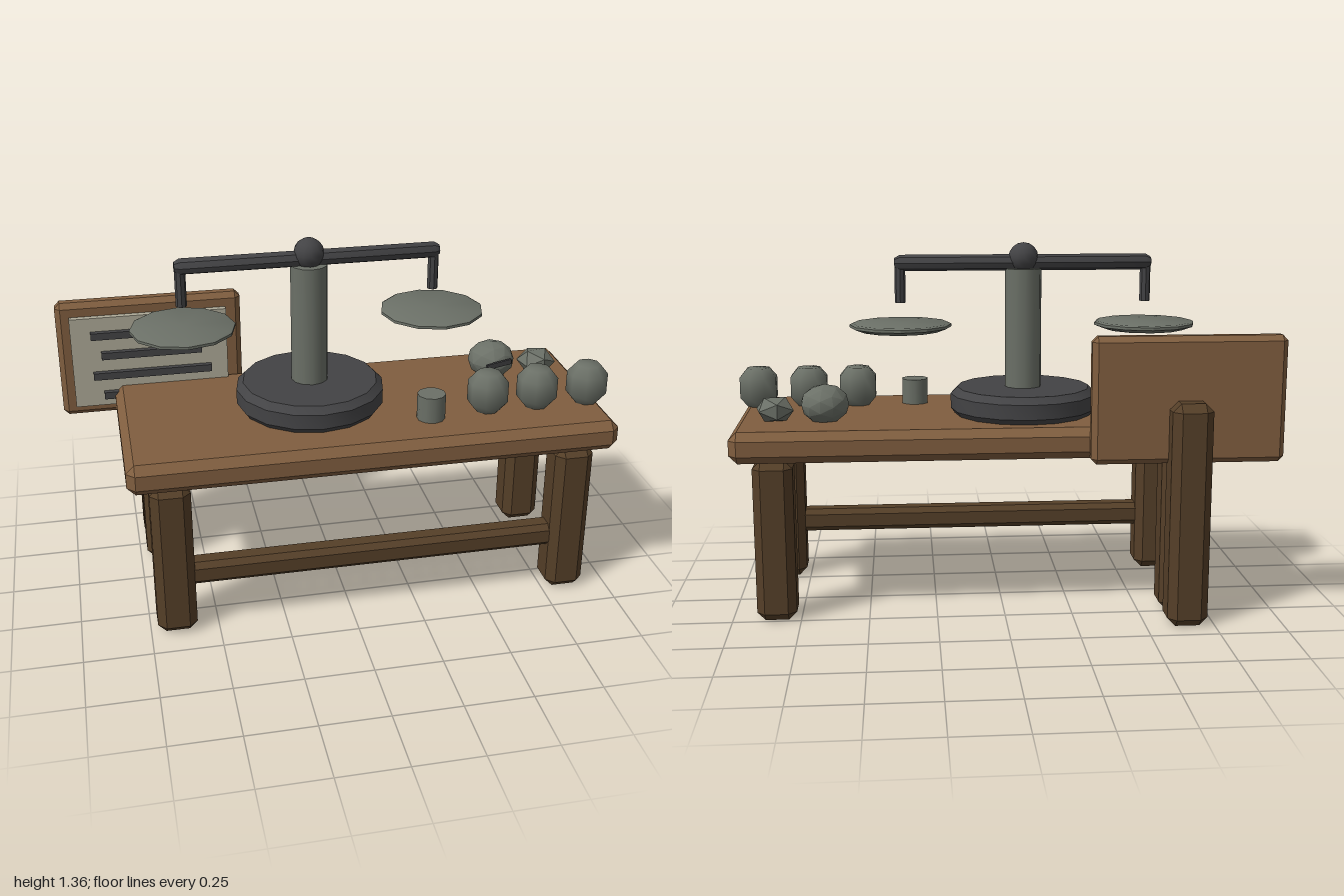
import * as THREE from 'three';
import { toCreasedNormals } from 'three/addons/utils/BufferGeometryUtils.js';
import { ConvexGeometry } from 'three/addons/geometries/ConvexGeometry.js';

const material = (name, color) => {
  const m = new THREE.MeshStandardMaterial({ color });
  m.name = name;
  return m;
};

// Box with every edge cut at 45 degrees
function chamferBox(w, h, d, c) {
  const points = [];
  for (const x of [-1, 1]) for (const y of [-1, 1]) for (const z of [-1, 1]) {
    const [X, Y, Z] = [x * w / 2, y * h / 2, z * d / 2];
    points.push(
      new THREE.Vector3(X, Y - y * c, Z - z * c),
      new THREE.Vector3(X - x * c, Y, Z - z * c),
      new THREE.Vector3(X - x * c, Y - y * c, Z));
  }
  return new ConvexGeometry(points);
}

// Turned solid from [radius, height] pairs, listed bottom to top
function turned(profile, sides, crease = 0.6) {
  const points = profile.map(([r, y]) => new THREE.Vector2(r, y));
  return toCreasedNormals(new THREE.LatheGeometry(points, sides), crease);
}

export function createModel() {
  const model = new THREE.Group();
  const wood = material('wood', 0x805e3f);
  const darkWood = material('dark wood', 0x553f28);
  const iron = material('iron', 0x434345);
  const stone = material('grey stone', 0x6b7067);
  const paper = material('paper', 0xaeaa98);

  const add = (name, geometry, mat, x, y, z) => {
    const mesh = new THREE.Mesh(geometry, mat);
    mesh.name = name;
    mesh.position.set(x, y, z);
    model.add(mesh);
    return mesh;
  };

  // Table
  add('tableTop', chamferBox(1.785, 0.115, 0.74, 0.03), wood, 0.0925, 0.6575, 0.065);
  for (const x of [-0.652, 0.838]) for (const z of [0.328, -0.19]) {
    add('tableLeg', chamferBox(0.145, 0.6, 0.147, 0.03), darkWood, x, 0.3, z);
  }
  add('stretcher', chamferBox(1.44, 0.09, 0.09, 0.02), darkWood, 0.093, 0.225, 0.328);

  // Notice board on a post behind the table
  add('boardPost', chamferBox(0.147, 0.82, 0.147, 0.03), darkWood, -0.65, 0.41, -0.365);
  add('board', chamferBox(0.7, 0.46, 0.07, 0.02), wood, -0.65, 0.82, -0.32);
  add('notice', new THREE.BoxGeometry(0.59, 0.36, 0.024), paper, -0.655, 0.82, -0.267);
  for (let i = 0; i < 4; i++) {
    add('noticeLine', new THREE.BoxGeometry(i % 2 ? 0.38 : 0.45, 0.028, 0.022), iron,
      -0.65, 0.932 - i * 0.082, -0.245);
  }

  // Balance scale
  const cx = -0.09, cz = 0.03;
  add('scaleBase', turned([[0, 0], [0.26, 0], [0.275, 0.02], [0.275, 0.075], [0.25, 0.1], [0, 0.1]], 16),
    iron, cx, 0.715, cz);
  add('scaleColumn', new THREE.CylinderGeometry(0.068, 0.068, 0.46, 12), stone, cx, 1.03, cz);
  add('scalePivot', new THREE.SphereGeometry(0.056, 12, 8), iron, cx, 1.3, cz);
  const beam = add('scaleBeam', turned(
    [[0, -0.48], [0.018, -0.48], [0.03, -0.46], [0.03, 0.46], [0.018, 0.48], [0, 0.48]], 8),
    iron, cx, 1.282, cz);
  beam.rotation.z = Math.PI / 2;
  for (const side of [-1, 1]) {
    const x = cx + side * 0.46;
    add('hanger', toCreasedNormals(new THREE.CylinderGeometry(0.02, 0.02, 0.15, 8), 0.6), iron, x, 1.21, cz);
    add('pan', turned([[0, 0], [0.15, 0], [0.19, 0.015], [0.19, 0.025], [0.18, 0.03], [0, 0.03]], 12, 0.5),
      stone, x, 1.03, cz);
  }

  // Weights along the front of the table
  add('smallWeight', new THREE.CylinderGeometry(0.052, 0.052, 0.1, 10), stone, 0.318, 0.762, 0.25);
  for (const x of [0.54, 0.73, 0.925]) {
    const weight = add('roundWeight', turned(
      [[0, 0], [0.045, 0], [0.075, 0.035], [0.075, 0.115], [0.045, 0.15], [0, 0.15]], 8, 1),
      stone, x, 0.715, 0.225);
    weight.rotation.y = Math.PI / 8;
  }

  // Loose stones with a sliver of iron beside them
  const rock = (name, radius, detail, x, y, z, sy, turn) => {
    const geometry = toCreasedNormals(new THREE.IcosahedronGeometry(radius, detail), 0.5);
    const mesh = add(name, geometry, stone, x, y, z);
    mesh.scale.y = sy;
    mesh.rotation.y = turn;
  };
  rock('largeStone', 0.09, 1, 0.652, 0.777, -0.083, 0.82, 0.4);
  rock('smallStone', 0.075, 0, 0.835, 0.757, -0.075, 0.7, 0.2);
  const sliver = add('ironSliver', new THREE.BoxGeometry(0.115, 0.02, 0.009), iron, 0.652, 0.795, 0.015);
  sliver.rotation.y = 0.33;

  return model;
}
